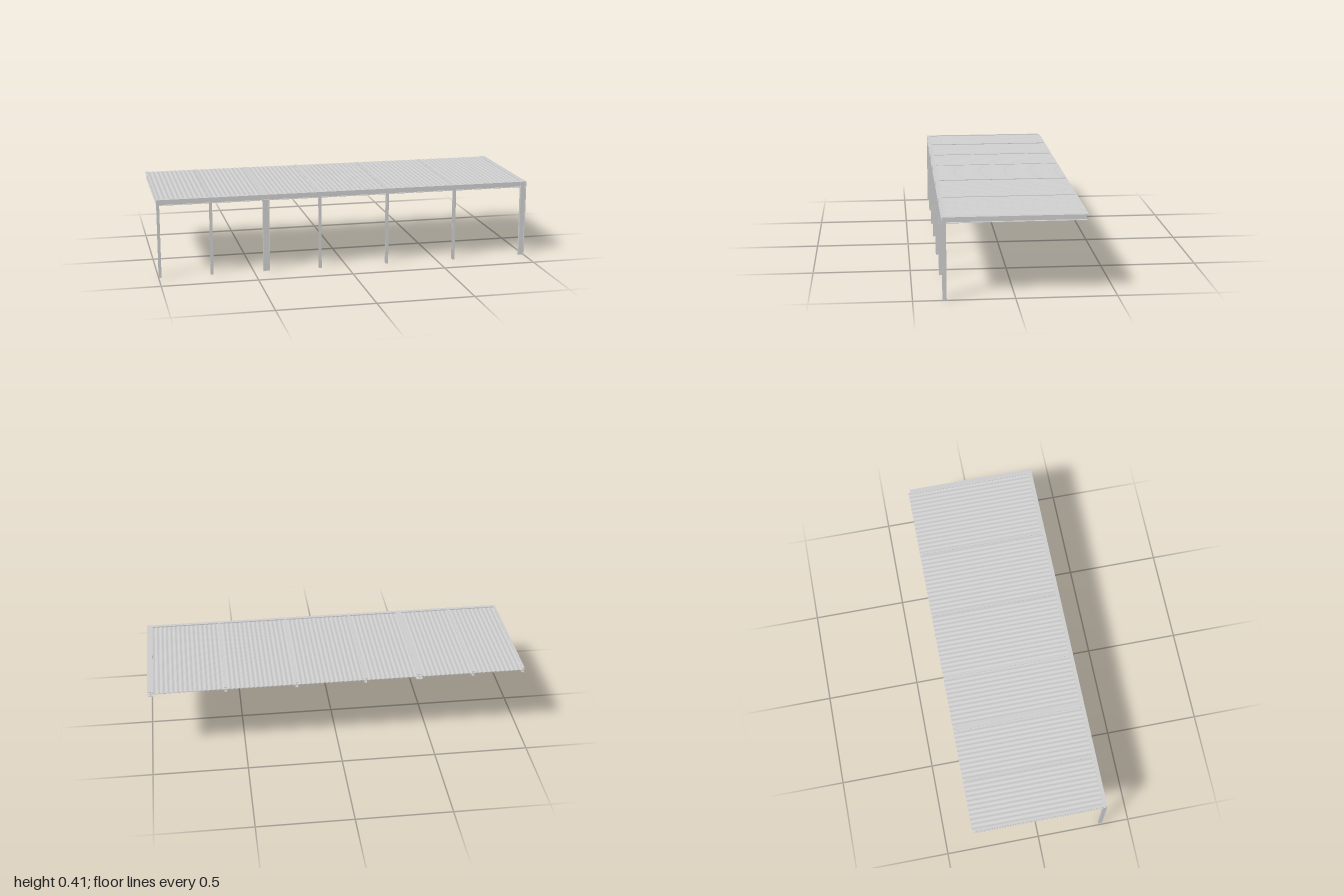
import * as THREE from 'three';

const material = new THREE.MeshStandardMaterial({ color: 0xcccccc, flatShading: true, side: THREE.DoubleSide });

// I-section outline: depth d along y, flange width w along x
function iSection(w, d, flange = 0.0022, web = 0.0016) {
  const a = w / 2, b = d / 2, t = web / 2, f = b - flange;
  const pts = [[-a, -b], [a, -b], [a, -f], [t, -f], [t, f], [a, f],
    [a, b], [-a, b], [-a, f], [-t, f], [-t, -f], [-a, -f]];
  return new THREE.Shape(pts.map(([x, y]) => new THREE.Vector2(x, y)));
}

function prism(shape, length) {
  return new THREE.ExtrudeGeometry(shape, { depth: length, bevelEnabled: false });
}

export function createModel() {
  const model = new THREE.Group();
  const add = (name, geometry) => {
    const mesh = new THREE.Mesh(geometry, material);
    mesh.name = name;
    model.add(mesh);
  };

  const top = 0.414, depth = 0.03, frontZ = 0.345, columnDepth = 0.02;
  const rafterFront = 0.336, rafterBack = -0.345;
  const frames = [
    { x: -0.992, w: 0.014 }, { x: -0.721, w: 0.014 }, { x: -0.432, w: 0.034, wide: true },
    { x: -0.144, w: 0.014 }, { x: 0.221, w: 0.014 }, { x: 0.594, w: 0.014 },
    { x: 0.984, w: 0.03, wide: true },
  ];

  for (const { x, w, wide } of frames) {
    // Columns: wide ones have their flanges turned to the sides
    const section = wide ? iSection(columnDepth, w) : iSection(w, columnDepth);
    const column = prism(section, top);
    if (wide) column.rotateZ(Math.PI / 2);
    column.rotateX(-Math.PI / 2).translate(x, 0, frontZ);
    add(wide ? 'wideColumn' : 'column', column);

    // Rafters cantilevering to the back
    const rafter = prism(iSection(w, depth), rafterFront - rafterBack);
    rafter.translate(x, top - depth / 2, rafterBack);
    add(wide ? 'wideRafter' : 'rafter', rafter);
  }

  // Front edge beam
  const beam = prism(iSection(columnDepth, depth), 1.996);
  beam.rotateY(Math.PI / 2).translate(-0.998, top - depth / 2, frontZ);
  add('frontBeam', beam);

  // Roof deck: gently waved on top, sharp ribs below, running front to back
  const ribs = 80, steps = 8, x0 = -0.998, x1 = 0.982, pitch = (x1 - x0) / ribs;
  const upper = [], under = [];
  for (let i = 0; i < ribs; i++) {
    for (let k = 0; k < steps; k++) {
      const u = k / steps;
      upper.push([x0 + (i + u) * pitch, 0.409 - 0.0015 * Math.cos(u * Math.PI * 2)]);
    }
    for (const [u, y] of [[0, 0.404], [0.18, 0.404], [0.28, 0.4078], [0.72, 0.4078], [0.82, 0.404]]) {
      under.push([x0 + (i + u) * pitch, y]);
    }
  }
  upper.push([x1, 0.4075]);
  under.push([x1, 0.404]);
  const sheet = new THREE.Shape([...under, ...upper.reverse()].map(([x, y]) => new THREE.Vector2(x, y)));
  add('roofDeck', prism(sheet, 0.69).translate(0, 0, -0.355));

  return model;
}
